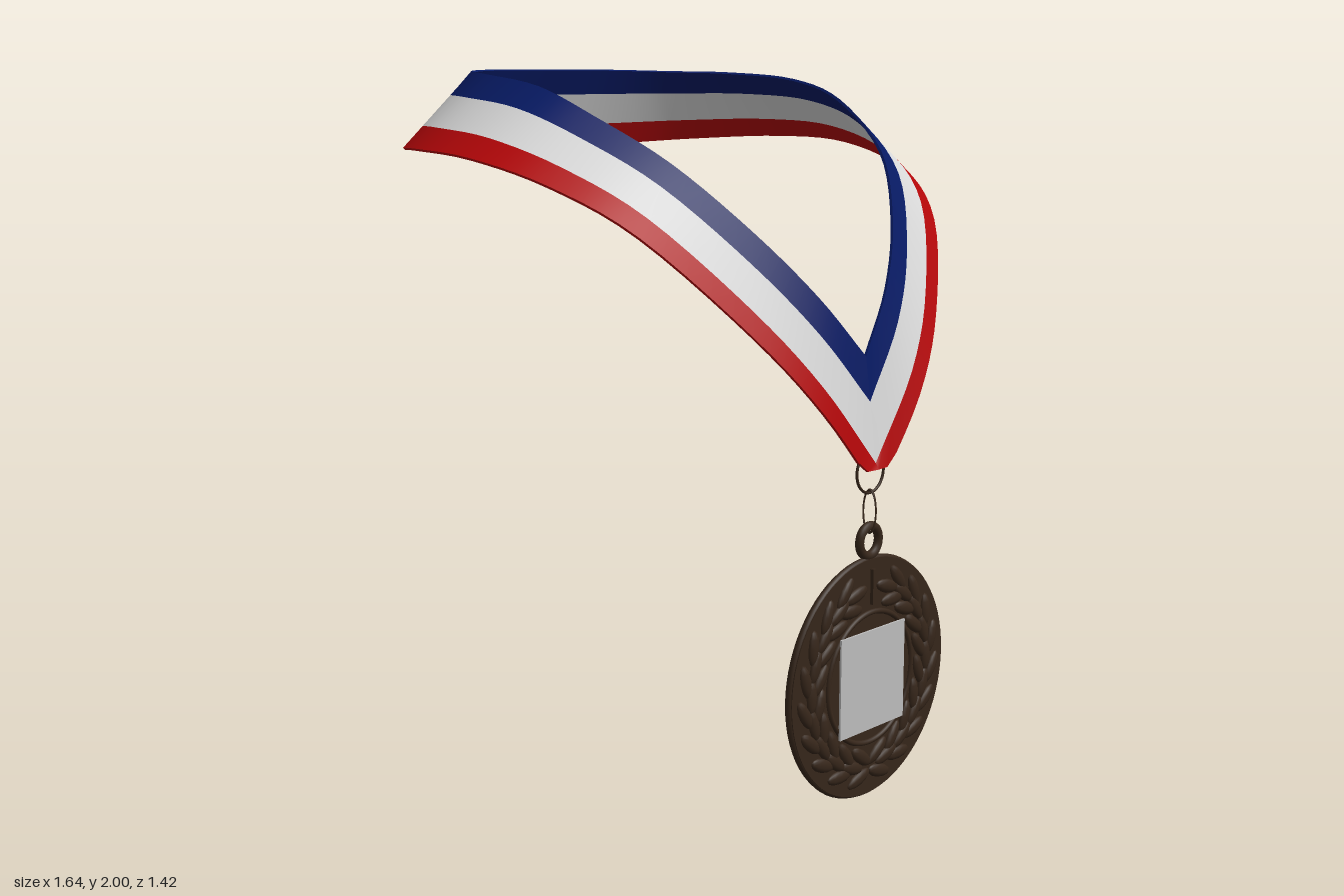
import * as THREE from 'three';

const mat = (name, color) => {
  const m = new THREE.MeshStandardMaterial({ color });
  m.name = name;
  return m;
};

// Ribbon rows from the front tip round the neck and back: inner edge xyz, outer edge xyz
const ROWS = [
  [0, 1.24, .655, 0, .87, .705],
  [.15, 1.41, .608, .21, 1.11, .684],
  [.3, 1.585, .512, .39, 1.315, .605],
  [.455, 1.765, .35, .61, 1.56, .435],
  [.56, 1.91, .11, .745, 1.7, .22],
  [.605, 1.97, -.11, .815, 1.775, -.06],
  [.56, 1.99, -.33, .785, 1.79, -.31],
  [.44, 1.995, -.48, .6, 1.78, -.53],
  [.23, 2, -.57, .3, 1.765, -.665],
  [0, 2, -.59, 0, 1.762, -.705],
  [-.23, 2, -.57, -.3, 1.765, -.665],
  [-.41, 1.995, -.46, -.6, 1.78, -.53],
  [-.54, 1.985, -.24, -.78, 1.79, -.26],
  [-.575, 1.955, 0, -.82, 1.775, 0],
  [-.54, 1.88, .17, -.76, 1.71, .23],
  [-.445, 1.76, .355, -.64, 1.585, .43],
  [-.3, 1.585, .508, -.4, 1.325, .602],
  [-.15, 1.41, .608, -.21, 1.11, .684],
  [0, 1.24, .655, 0, .87, .705],
];
const edge = (k) => new THREE.CatmullRomCurve3(
  ROWS.map((r) => new THREE.Vector3(r[k], r[k + 1], r[k + 2])), false, 'catmullrom', 0.5);

// One stripe of the ribbon: a thin closed strip between two fractions of its width.
// Each fraction is [at the front tip, at the back of the neck].
function stripeGeometry(from, to) {
  const inner = edge(0), outer = edge(3), N = 90, half = 0.004;
  const loops = [];
  for (let i = 0; i <= N; i++) {
    const t = i / N, back = Math.sin(Math.PI * t);
    const a = inner.getPoint(t), b = outer.getPoint(t);
    const tangent = inner.getTangent(t).add(outer.getTangent(t));
    const n = b.clone().sub(a).cross(tangent);
    if (i === 0 || i === N) n.x = 0; // both ends meet flush in the middle
    n.setLength(half);
    const at = (f) => {
      const p = a.clone().lerp(b, THREE.MathUtils.lerp(f[0], f[1], back));
      p.y = Math.max(p.y, 0.935); // the tip is cut straight
      return p;
    };
    const p = at(from), q = at(to);
    loops.push([p.clone().add(n), q.clone().add(n), q.clone().sub(n), p.clone().sub(n)]);
  }
  const pos = [], index = [];
  for (let k = 0; k < 4; k++) {
    const base = pos.length / 3;
    loops.forEach((l) => pos.push(...l[k].toArray(), ...l[(k + 1) % 4].toArray()));
    for (let i = 0; i < N; i++) {
      const s = base + i * 2;
      index.push(s, s + 1, s + 2, s + 1, s + 3, s + 2);
    }
  }
  const g = new THREE.BufferGeometry();
  g.setAttribute('position', new THREE.Float32BufferAttribute(pos, 3));
  g.setIndex(index);
  g.computeVertexNormals();
  return g;
}

export function createModel() {
  const blue = mat('ribbon blue', 0x071a63);
  const white = mat('ribbon white', 0xd8d8d8);
  const red = mat('ribbon red', 0xb20608);
  const bronze = mat('dark bronze', 0x36261a);
  const plateGrey = mat('plate grey', 0xbebebe);
  const model = new THREE.Group();
  model.name = 'medal on ribbon';

  const add = (parent, name, geometry, material, x = 0, y = 0, z = 0) => {
    const m = new THREE.Mesh(geometry, material);
    m.name = name;
    m.position.set(x, y, z);
    parent.add(m);
    return m;
  };

  // Ribbon
  const ribbon = new THREE.Group();
  ribbon.name = 'ribbon';
  model.add(ribbon);
  const cut1 = [.33, .31], cut2 = [.78, .71];
  add(ribbon, 'blueStripe', stripeGeometry([0, 0], cut1), blue);
  add(ribbon, 'whiteStripe', stripeGeometry(cut1, cut2), white);
  add(ribbon, 'redStripe', stripeGeometry(cut2, [1, 1]), red);

  // Rings joining ribbon and medal
  const Z = 0.68;
  add(model, 'ribbonRing', new THREE.TorusGeometry(.059, .004, 8, 40), bronze, 0, .926, Z);
  const link = add(model, 'connectingLink', new THREE.TorusGeometry(.06, .004, 8, 32), bronze, 0, .815, Z);
  link.rotation.y = Math.PI / 2;
  link.scale.x = .36;

  // Medal body
  const medal = new THREE.Group();
  medal.name = 'medal';
  medal.position.set(0, .345, Z);
  model.add(medal);
  const disc = add(medal, 'disc', new THREE.CylinderGeometry(.338, .338, .024, 72), bronze);
  disc.rotation.x = Math.PI / 2;
  add(medal, 'outerRim', new THREE.TorusGeometry(.334, .011, 8, 72), bronze);
  add(medal, 'hangingLoop', new THREE.TorusGeometry(.042, .013, 10, 32), bronze, 0, .387, 0);
  add(medal, 'plate', new THREE.BoxGeometry(.285, .285, .006), plateGrey, -.002, -.003, .021);

  // Wreath on both faces: two mirrored branches rising from the bottom
  const leaf = new THREE.SphereGeometry(1, 10, 6);
  for (const face of [1, -1]) {
    add(medal, 'innerRing', new THREE.TorusGeometry(.187, .008, 8, 60), bronze, 0, 0, face * .012);
    add(medal, 'wreathTie', new THREE.BoxGeometry(.012, .1, .02), bronze, 0, .26, face * .012);
    const wreath = new THREE.Group();
    wreath.name = 'wreath';
    medal.add(wreath);
    for (const side of [1, -1]) {
      for (let i = 0; i < 9; i++) {
        for (const row of [-1, 0, 1]) {
          const angle = -Math.PI / 2 + side * (.16 + i * .32 + (row ? 0 : .15));
          const r = .257 + row * .031;
          const m = add(wreath, 'leaf', leaf, bronze,
            Math.cos(angle) * r, Math.sin(angle) * r, face * .012);
          m.scale.set(.02, .05, .012);
          // leaves follow the branch and splay away from its stem
          m.rotation.z = angle + (side > 0 ? 0 : Math.PI) - side * row * .45;
        }
      }
    }
  }
  return model;
}
